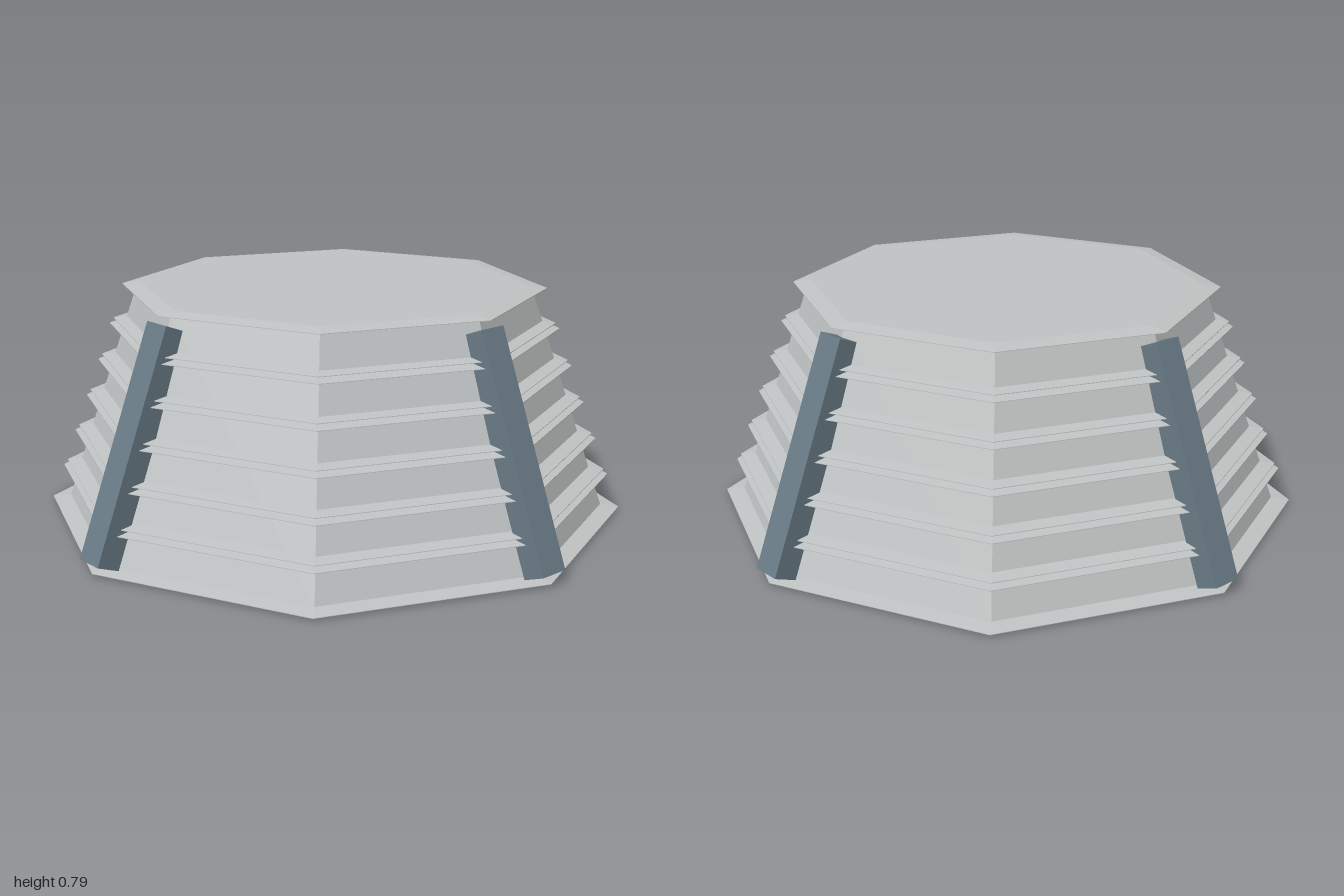
import * as THREE from 'three';

const SIDES = 8;
const TIERS = 6;
const HEIGHT = 0.785;

export function createModel() {
  const root = new THREE.Group();
  root.name = 'louvredTower';

  const panelGrey = new THREE.MeshStandardMaterial({ color: 0xc0c3c3 });
  const postBlue = new THREE.MeshStandardMaterial({ color: 0x697b86 });
  panelGrey.name = 'panelGrey';
  postBlue.name = 'postBlue';

  // Eight-sided solid of revolution with crisp facets
  function octagon(name, profile) {
    const points = profile.map(([r, y]) => new THREE.Vector2(r, y));
    const geometry = new THREE.LatheGeometry(points, SIDES).toNonIndexed();
    geometry.computeVertexNormals();
    const mesh = new THREE.Mesh(geometry, panelGrey);
    mesh.name = name;
    root.add(mesh);
  }

  // Thin plate whose edge tapers to a sharp rim
  function plate(name, y, radius) {
    const h = 0.009;
    const flat = radius - 0.06;
    octagon(name, [[0, y - h], [flat, y - h], [radius, y - 0.001], [radius, y + 0.001], [flat, y + h], [0, y + h]]);
  }

  const rimRadius = (t) => THREE.MathUtils.lerp(0.99, 0.715, t);

  // Sloping inner wall
  octagon('innerWall', [[0, 0.01], [0.93, 0.01], [0.665, 0.775], [0, 0.775]]);

  // Base and roof are single plates, each joint between tiers is a pair
  plate('basePlate', 0.009, rimRadius(0));
  for (let i = 1; i < TIERS; i++) {
    const t = i / TIERS;
    const y = 0.009 + t * (HEIGHT - 0.018);
    plate('lowerLouvre' + i, y - 0.009, rimRadius(t) + 0.002);
    plate('upperLouvre' + i, y + 0.009, rimRadius(t) - 0.012);
  }
  plate('roofPlate', HEIGHT - 0.009, rimRadius(1));

  // Four leaning corner posts, placed by their outer face
  const foot = new THREE.Vector2(1.0, 0.045);
  const head = new THREE.Vector2(0.72, 0.755);
  const depth = 0.08;
  const lean = Math.atan2(foot.x - head.x, head.y - foot.y);
  const postGeometry = new THREE.BoxGeometry(depth, foot.distanceTo(head), 0.1);
  postGeometry.translate(-depth / 2, 0, 0);
  postGeometry.rotateZ(lean);
  postGeometry.translate((foot.x + head.x) / 2, (foot.y + head.y) / 2, 0);
  ['leftPost', 'backPost', 'rightPost', 'frontPost'].forEach((name, i) => {
    const post = new THREE.Mesh(postGeometry, postBlue);
    post.name = name;
    post.rotation.y = (i * Math.PI) / 2;
    root.add(post);
  });

  return root;
}
